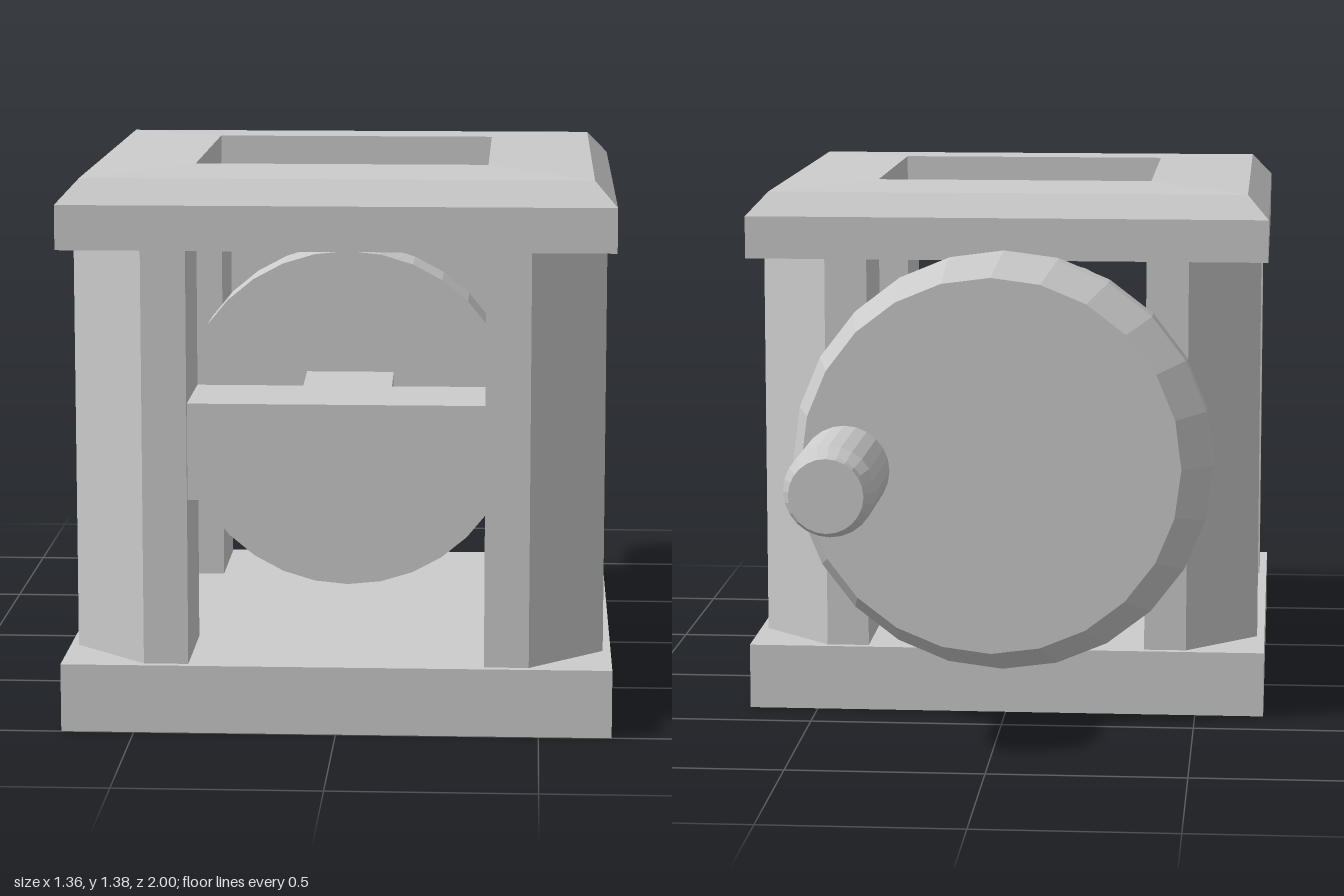
import * as THREE from 'three';

const MID_Z = 0.32; // centre of the square frame
const AXIS_Y = 0.685; // height of the wheels

export function createModel() {
  const model = new THREE.Group();
  const grey = new THREE.MeshStandardMaterial({ color: 0xcccccc, flatShading: true });

  const add = (name, geometry, x, y, z) => {
    const mesh = new THREE.Mesh(geometry, grey);
    mesh.name = name;
    mesh.position.set(x, y, z);
    model.add(mesh);
    return mesh;
  };
  // profile of [radius, height] pairs turned around the y axis
  const lathe = (profile, sides) =>
    new THREE.LatheGeometry(profile.map(([r, h]) => new THREE.Vector2(r, h)), sides);

  // base slab
  add('base', new THREE.BoxGeometry(1.36, 0.17, 1.36), 0, 0.085, MID_Z);

  // square top frame with chamfered rim and a square opening
  const d = Math.SQRT2;
  const rim = [[0.365, 1.2], [0.68, 1.2], [0.68, 1.31], [0.625, 1.37], [0.365, 1.38], [0.365, 1.2]];
  add('topFrame', lathe(rim.map(([r, h]) => [r * d, h]), 4).rotateY(Math.PI / 4), 0, 0, MID_Z);

  // four corner posts, each with its outer corner cut off
  const section = [[0.365, 0.365], [0.66, 0.365], [0.66, 0.475], [0.475, 0.66], [0.365, 0.66]];
  for (const sx of [-1, 1]) {
    for (const sz of [-1, 1]) {
      const shape = new THREE.Shape(section.map(([x, z]) => new THREE.Vector2(sx * x, -sz * z)));
      const post = new THREE.ExtrudeGeometry(shape, { depth: 1.03, bevelEnabled: false });
      add('cornerPost', post.rotateX(-Math.PI / 2), 0, 0.17, MID_Z);
    }
  }

  // front and back crossbars between the posts
  for (const sz of [-1, 1]) {
    add('crossbar', new THREE.BoxGeometry(0.73, 0.24, 0.28), 0, 0.7, MID_Z + sz * 0.505);
  }

  // square axle, very slightly askew, carrying the inner wheel
  add('axle', new THREE.BoxGeometry(0.225, 0.22, 0.8), 0.005, 0.7, MID_Z).rotation.y = 0.02;
  add('innerWheel', new THREE.CylinderGeometry(0.44, 0.44, 0.16, 32).rotateX(Math.PI / 2), 0, AXIS_Y, MID_Z);

  // hub joining the back crossbar to the crank wheel
  add('crankHub', new THREE.CylinderGeometry(0.185, 0.185, 0.1, 24).rotateX(Math.PI / 2), 0, AXIS_Y, -0.36);

  // crank wheel with a bevelled back, its outer face a little off centre
  const disc = lathe([[0, 0.39], [0.545, 0.39], [0.545, 0.46], [0.49, 0.53], [0, 0.53]], 24);
  const p = disc.attributes.position;
  for (let i = 0; i < p.count; i++) {
    if (p.getY(i) > 0.5) p.setX(i, p.getX(i) + 0.025);
  }
  add('crankWheel', disc.rotateX(-Math.PI / 2), 0, AXIS_Y, 0);

  // turned handle grip
  const grip = [[0, 0.5], [0.093, 0.5], [0.093, 0.6], [0.115, 0.625], [0.115, 0.93], [0.093, 0.96], [0.093, 1], [0, 1]];
  add('crankHandle', lathe(grip, 24).rotateX(-Math.PI / 2), 0.39, 0.69, 0);

  return model;
}
